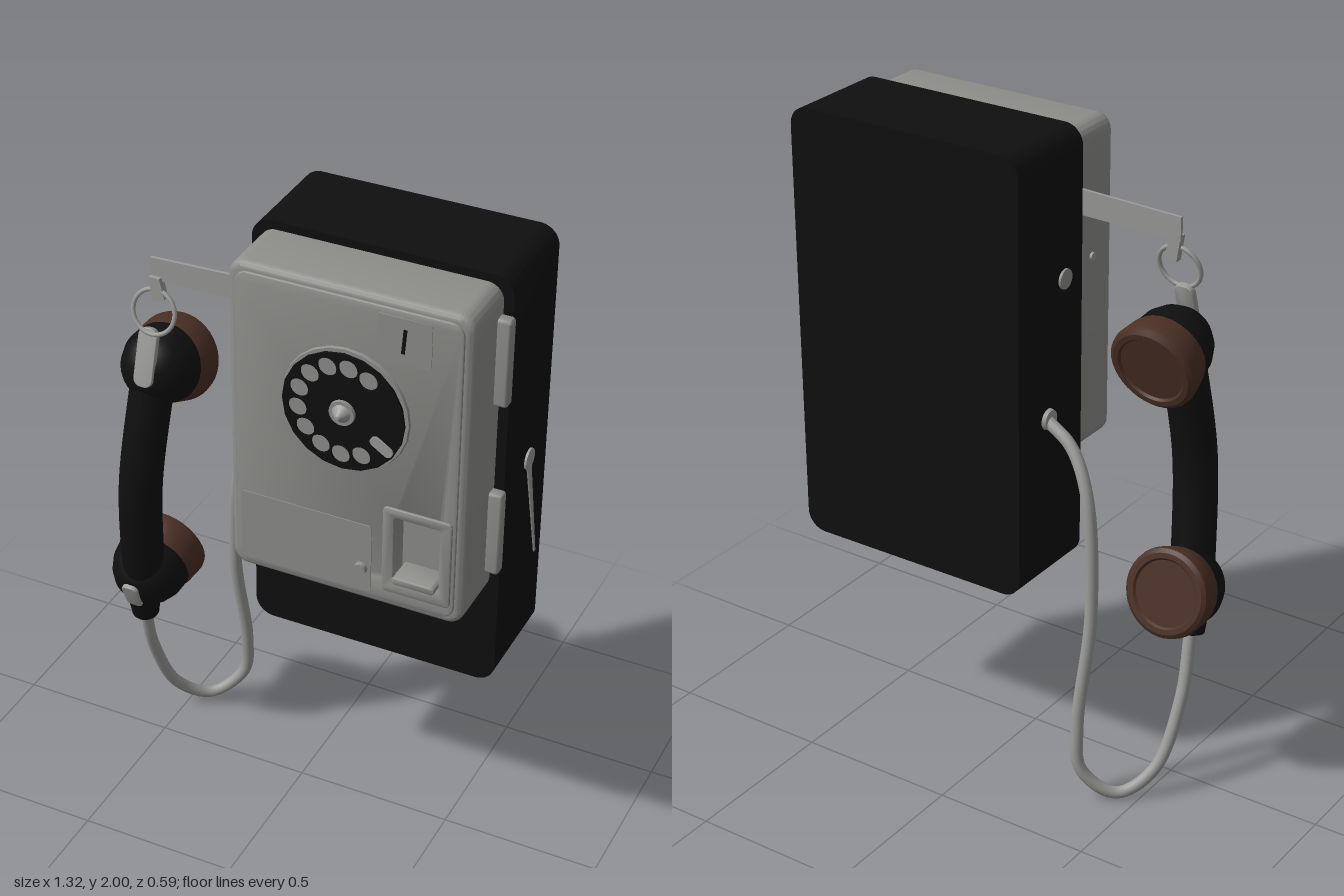
import * as THREE from 'three';
import { toCreasedNormals } from 'three/addons/utils/BufferGeometryUtils.js';

const mat = (name, color, side = THREE.FrontSide) => {
  const m = new THREE.MeshStandardMaterial({ color, side });
  m.name = name;
  return m;
};
const V = (x, y, z) => new THREE.Vector3(x, y, z);

// Rounded rectangle outline from its edges
function roundRect(x0, y0, x1, y1, r, Type = THREE.Shape) {
  const s = new Type();
  s.moveTo(x0 + r, y0);
  s.lineTo(x1 - r, y0); s.absarc(x1 - r, y0 + r, r, -Math.PI / 2, 0);
  s.lineTo(x1, y1 - r); s.absarc(x1 - r, y1 - r, r, 0, Math.PI / 2);
  s.lineTo(x0 + r, y1); s.absarc(x0 + r, y1 - r, r, Math.PI / 2, Math.PI);
  s.lineTo(x0, y0 + r); s.absarc(x0 + r, y0 + r, r, Math.PI, Math.PI * 1.5);
  return s;
}
const circlePath = (x, y, r) => {
  const p = new THREE.Path();
  p.absarc(x, y, r, 0, Math.PI * 2);
  return p;
};

// Slab between two z depths, with an optional rounded edge
function slab(shape, z0, z1, bevel = 0) {
  const g = new THREE.ExtrudeGeometry(shape, {
    depth: z1 - z0 - 2 * bevel, curveSegments: 10, bevelEnabled: bevel > 0,
    bevelSize: bevel, bevelThickness: bevel, bevelOffset: -bevel, bevelSegments: 4,
  });
  g.translate(0, 0, z0 + bevel);
  return toCreasedNormals(g, 0.6);
}

export function createModel() {
  const root = new THREE.Group();
  root.name = 'wallTelephone';
  const black = mat('black', 0x0f0f0f);
  const grey = mat('grey', 0x8e8e8b);
  const metal = mat('metal', 0x9a9a98, THREE.DoubleSide);
  const brown = mat('brown', 0x4a2f24);

  const add = (name, geo, material, parent = root) => {
    const m = new THREE.Mesh(geo, material);
    m.name = name;
    parent.add(m);
    return m;
  };
  // Cylinder running between two points
  const rod = (name, a, b, r0, r1, material, parent = root) => {
    const m = add(name, new THREE.CylinderGeometry(r1, r0, a.distanceTo(b), 24), material, parent);
    m.position.copy(a).lerp(b, 0.5);
    m.quaternion.setFromUnitVectors(V(0, 1, 0), b.clone().sub(a).normalize());
    return m;
  };

  // Back box and front housing, with an opening for the coin return
  add('backBox', slab(roundRect(-0.14, 0.63, 0.645, 2, 0.06), -0.29, 0.03), black);
  const opening = () => roundRect(0.405, 1.075, 0.545, 1.285, 0.01, THREE.Path);
  const housing = roundRect(-0.115, 0.96, 0.615, 1.975, 0.05);
  housing.holes.push(opening());
  add('frontHousing', slab(housing, 0.0, 0.228, 0.022), grey);
  const panel = roundRect(-0.09, 0.985, 0.59, 1.95, 0.04);
  panel.holes.push(opening());
  add('frontPanel', slab(panel, 0.22, 0.235, 0.004), grey);

  // Thin plates on the front panel
  add('lowerPlate', slab(roundRect(-0.075, 1.0, 0.335, 1.23, 0.01), 0.23, 0.238), grey);
  add('slotPlate', slab(roundRect(0.34, 1.79, 0.5, 1.93, 0.01), 0.23, 0.238), grey);
  const slot = add('coinSlot', new THREE.BoxGeometry(0.01, 0.075, 0.004), black);
  slot.position.set(0.42, 1.86, 0.239);
  slot.rotation.z = -0.08;

  // Coin return
  const frame = roundRect(0.37, 1.025, 0.58, 1.315, 0.015);
  frame.holes.push(opening());
  add('coinReturnFrame', slab(frame, 0.225, 0.243, 0.004), grey);
  add('coinReturnBack', new THREE.BoxGeometry(0.16, 0.23, 0.01), grey).position.set(0.475, 1.18, 0.17);
  add('coinReturnLip', slab(roundRect(0.41, 1.07, 0.54, 1.095, 0.01), 0.17, 0.262, 0.006), grey);
  rod('button', V(0.305, 1.08, 0.23), V(0.305, 1.08, 0.252), 0.021, 0.017, grey);

  // Rotary dial
  const dial = new THREE.Group();
  dial.name = 'dial';
  dial.position.set(0.25, 1.6, 0);
  root.add(dial);
  rod('dialBase', V(0, 0, 0.225), V(0, 0, 0.243), 0.198, 0.192, grey, dial);
  const wheel = new THREE.Shape();
  wheel.absarc(0, 0, 0.185, 0, Math.PI * 2);
  for (let i = 0; i < 10; i++) {
    const a = THREE.MathUtils.degToRad(58 + 26.2 * i);
    wheel.holes.push(circlePath(0.14 * Math.cos(a), 0.14 * Math.sin(a), 0.029));
  }
  add('fingerWheel', slab(wheel, 0.249, 0.257), black, dial);
  rod('dialHub', V(0, 0, 0.243), V(0, 0, 0.266), 0.042, 0.038, grey, dial);
  rod('dialCone', V(0, 0, 0.266), V(0, 0, 0.293), 0.028, 0.006, metal, dial);
  const stop = add('fingerStop', slab(roundRect(0.105, -0.016, 0.18, 0.016, 0.015), 0.25, 0.263), metal, dial);
  stop.rotation.z = -0.57;

  // Hinges on the left side
  for (const y of [1.05, 1.615]) {
    const hinge = slab(roundRect(0.6, y, 0.655, y + 0.275, 0.012), 0.03, 0.07, 0.01);
    add('hinge', hinge, grey);
  }

  // Side crank: disc and tapering blade
  rod('crankDisc', V(0.64, 1.32, -0.15), V(0.652, 1.32, -0.15), 0.033, 0.033, metal);
  const blade = new THREE.Shape([
    new THREE.Vector2(0.135, 1.31), new THREE.Vector2(0.165, 1.31),
    new THREE.Vector2(0.248, 0.935), new THREE.Vector2(0.238, 0.935)]);
  const bladeMesh = add('crankBlade', slab(blade, 0, 0.006), metal);
  bladeMesh.rotation.y = Math.PI / 2;
  bladeMesh.position.x = 0.643;

  // Fittings on the right side
  rod('cableGrommet', V(-0.13, 1.16, -0.142), V(-0.152, 1.16, -0.142), 0.036, 0.03, metal);
  rod('sideLock', V(-0.13, 1.57, -0.06), V(-0.147, 1.57, -0.06), 0.032, 0.03, grey);
  rod('sideScrew', V(-0.11, 1.57, 0.12), V(-0.122, 1.57, 0.12), 0.014, 0.012, metal);

  // Cradle arm with a turned-down end, and the ring hanging from it
  const arm = new THREE.Shape([[-0.1, 1.73], [-0.1, 1.808], [-0.46, 1.797], [-0.46, 1.725]]
    .map(p => new THREE.Vector2(...p)));
  add('cradleArm', slab(arm, 0.036, 0.046), metal);
  const hook = new THREE.Shape([[-0.46, 1.74], [-0.448, 1.66], [-0.41, 1.675], [-0.425, 1.74]]
    .map(p => new THREE.Vector2(...p)));
  add('cradleHook', slab(hook, 0.036, 0.06), metal);
  const ring = add('hangingRing', new THREE.TorusGeometry(0.068, 0.007, 10, 40), metal);
  ring.position.set(-0.44, 1.635, 0.07);
  ring.rotation.x = -0.25;

  // Handset: curved grip, two cups, strap and cable tip
  const handset = new THREE.Group();
  handset.name = 'handset';
  root.add(handset);
  const grip = new THREE.CatmullRomCurve3([V(-0.457, 1.46, 0.035), V(-0.465, 1.35, 0.06),
    V(-0.49, 1.05, 0.1), V(-0.513, 0.76, 0.07), V(-0.527, 0.59, 0.035)]);
  add('grip', new THREE.TubeGeometry(grip, 40, 0.066, 24), black, handset);

  const lathe = pts => toCreasedNormals(
    new THREE.LatheGeometry(pts.map(p => new THREE.Vector2(...p)), 40), 0.6);
  const shell = lathe([[0, -0.11], [0.045, -0.102], [0.075, -0.085], [0.1, -0.055],
    [0.117, -0.015], [0.122, 0.03], [0, 0.03]]);
  const cap = lathe([[0, 0.028], [0.12, 0.028], [0.127, 0.045], [0.137, 0.105], [0.134, 0.12],
    [0.122, 0.129], [0.106, 0.129], [0.1, 0.122], [0, 0.122]]);
  for (const [name, x, y, tilt] of [['earpiece', -0.46, 1.42, -0.26], ['mouthpiece', -0.525, 0.655, 0.26]]) {
    const cup = new THREE.Group();
    cup.name = name;
    cup.position.set(x, y, 0.015);
    cup.quaternion.setFromUnitVectors(V(0, 1, 0), V(0, Math.sin(tilt), -Math.cos(tilt)));
    add(name + 'Shell', shell, black, cup);
    add(name + 'Cap', cap, brown, cup);
    handset.add(cup);
  }
  const strap = add('ringStrap', slab(roundRect(-0.031, -0.09, 0.031, 0.09, 0.025), -0.01, 0.01, 0.003), metal, handset);
  strap.position.set(-0.453, 1.495, 0.1);
  strap.rotation.x = -0.3;
  const clip = add('tipClip', slab(roundRect(-0.028, -0.05, 0.028, 0.05, 0.02), -0.01, 0.01, 0.003), metal, handset);
  clip.position.set(-0.532, 0.612, 0.108);
  clip.rotation.x = 0.4;
  rod('cableTip', V(-0.527, 0.6, 0.05), V(-0.536, 0.497, 0.028), 0.055, 0.043, black, handset);

  // Hanging cable
  const cable = new THREE.CatmullRomCurve3([V(-0.536, 0.51, 0.03), V(-0.55, 0.3, -0.04),
    V(-0.52, 0.09, -0.135), V(-0.44, 0.021, -0.215), V(-0.35, 0.1, -0.272), V(-0.33, 0.25, -0.265),
    V(-0.338, 0.6, -0.21), V(-0.305, 0.97, -0.185), V(-0.23, 1.1, -0.155), V(-0.13, 1.16, -0.142)]);
  add('cable', new THREE.TubeGeometry(cable, 120, 0.019, 14), metal);

  return root;
}
